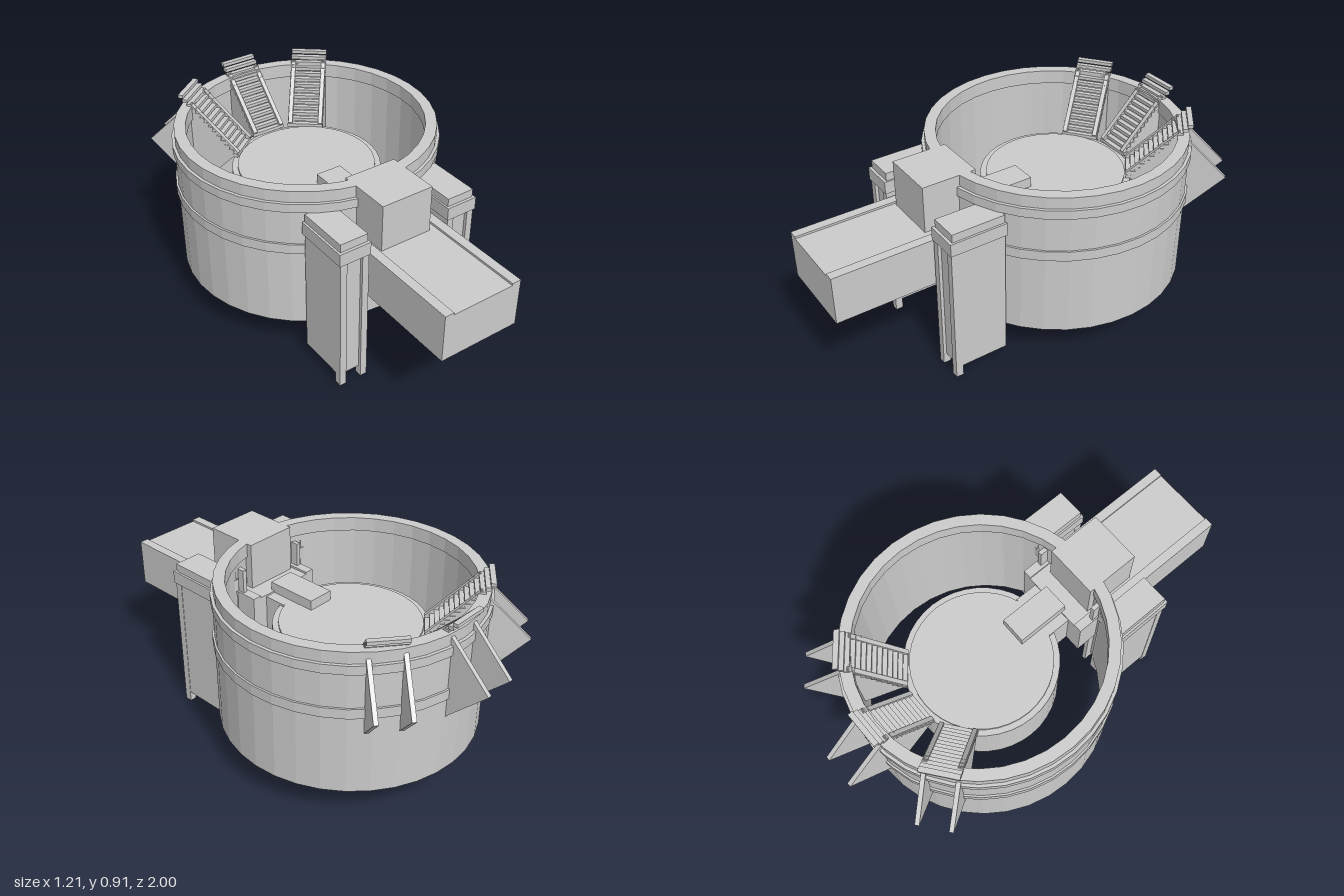
import * as THREE from 'three';

const grey = new THREE.MeshStandardMaterial({ color: 0xcccccc, flatShading: true, side: THREE.DoubleSide });
const RING_Z = -0.22;

function add(parent, name, geometry) {
  const mesh = new THREE.Mesh(geometry, grey);
  mesh.name = name;
  parent.add(mesh);
  return mesh;
}

// Box given by its minimum and maximum along each axis
function block(parent, name, [x0, x1], [y0, y1], [z0, z1]) {
  const mesh = add(parent, name, new THREE.BoxGeometry(x1 - x0, y1 - y0, z1 - z0));
  mesh.position.set((x0 + x1) / 2, (y0 + y1) / 2, (z0 + z1) / 2);
  return mesh;
}

// Solid of revolution around the ring's axis
function turned(parent, name, profile, sides) {
  const points = profile.map(([r, y]) => new THREE.Vector2(r, y));
  const mesh = add(parent, name, new THREE.LatheGeometry(points, sides));
  mesh.position.z = RING_Z;
  return mesh;
}

// Staircase over the wall: two diamond side plates with treads between them
function staircase(x, z, angle) {
  const stair = new THREE.Group();
  stair.name = 'staircase';
  for (const side of [-1, 1]) {
    const plate = add(stair, 'stairSidePlate', new THREE.BoxGeometry(0.02, 0.318, 0.318));
    plate.position.set(side * 0.073, 0.645, 0);
    plate.rotation.x = Math.PI / 4;
  }
  const steps = 14;
  for (let i = 0; i < steps; i++) {
    const t = i / (steps - 1);
    const tread = add(stair, 'tread', new THREE.BoxGeometry(0.172, 0.016, 0.024));
    tread.position.set(0, 0.63 + 0.27 * t, 0.21 - 0.255 * t);
  }
  stair.position.set(x, 0, z);
  stair.rotation.y = angle;
  return stair;
}

// Tower on two front feet, with corner posts and a stepped cap
function tower(side) {
  const group = new THREE.Group();
  group.name = 'tower';
  const span = (a, b) => (side > 0 ? [a, b] : [-b, -a]);
  block(group, 'towerBody', span(0.207, 0.343), [0.05, 0.72], [0.285, 0.53]);
  for (const x of [0.205, 0.313]) {
    block(group, 'towerPost', span(x, x + 0.032), [0, 0.7], [0.51, 0.545]);
  }
  block(group, 'towerCap', span(0.2, 0.352), [0.66, 0.72], [0.28, 0.55]);
  block(group, 'towerTop', span(0.208, 0.342), [0.72, 0.758], [0.285, 0.537]);
  return group;
}

export function createModel() {
  const model = new THREE.Group();
  model.name = 'arena';

  // Outer wall with two raised bands
  turned(model, 'ringWall', [
    [0.55, 0.167], [0.597, 0.167], [0.597, 0.55], [0.606, 0.55], [0.606, 0.597],
    [0.597, 0.597], [0.597, 0.76], [0.606, 0.76], [0.606, 0.802], [0.592, 0.802],
    [0.592, 0.856], [0.54, 0.856], [0.54, 0.79], [0.55, 0.79], [0.55, 0.167],
  ], 36);

  // Central platform: hollow drum with a core below
  turned(model, 'platform', [
    [0, 0.628], [0.318, 0.628], [0.318, 0.618], [0.345, 0.618], [0.345, 0.34],
    [0.3, 0.34], [0.3, 0.59], [0, 0.59],
  ], 40);
  turned(model, 'platformCore', [[0.17, 0.6], [0.17, 0.38], [0, 0.38]], 32);
  block(model, 'platformTable', [-0.063, 0.063], [0.62, 0.675], [-0.04, 0.21]);

  // Entrance: walkway, long passage with raised edges, gatehouse
  block(model, 'walkway', [-0.11, 0.115], [0.42, 0.628], [0.08, 0.2]);
  block(model, 'passage', [-0.19, 0.193], [0.42, 0.636], [0.19, 1]);
  block(model, 'passageEdge', [-0.19, -0.147], [0.63, 0.646], [0.19, 1]);
  block(model, 'passageEdge', [0.15, 0.193], [0.63, 0.646], [0.19, 1]);
  block(model, 'gatehouse', [-0.135, 0.116], [0.63, 0.856], [0.28, 0.535]);

  // Towers and the slim gate posts beside the passage
  for (const side of [-1, 1]) {
    model.add(tower(side));
    const post = block(model, 'gatePost', [-0.01, 0.01], [0.12, 0.76], [0.265, 0.345]);
    post.position.x = side * 0.174;
  }

  // Three staircases at the back
  model.add(staircase(0, -0.775, 0));
  model.add(staircase(0.313, -0.666, -0.68));
  model.add(staircase(-0.309, -0.666, 0.66));
  return model;
}
